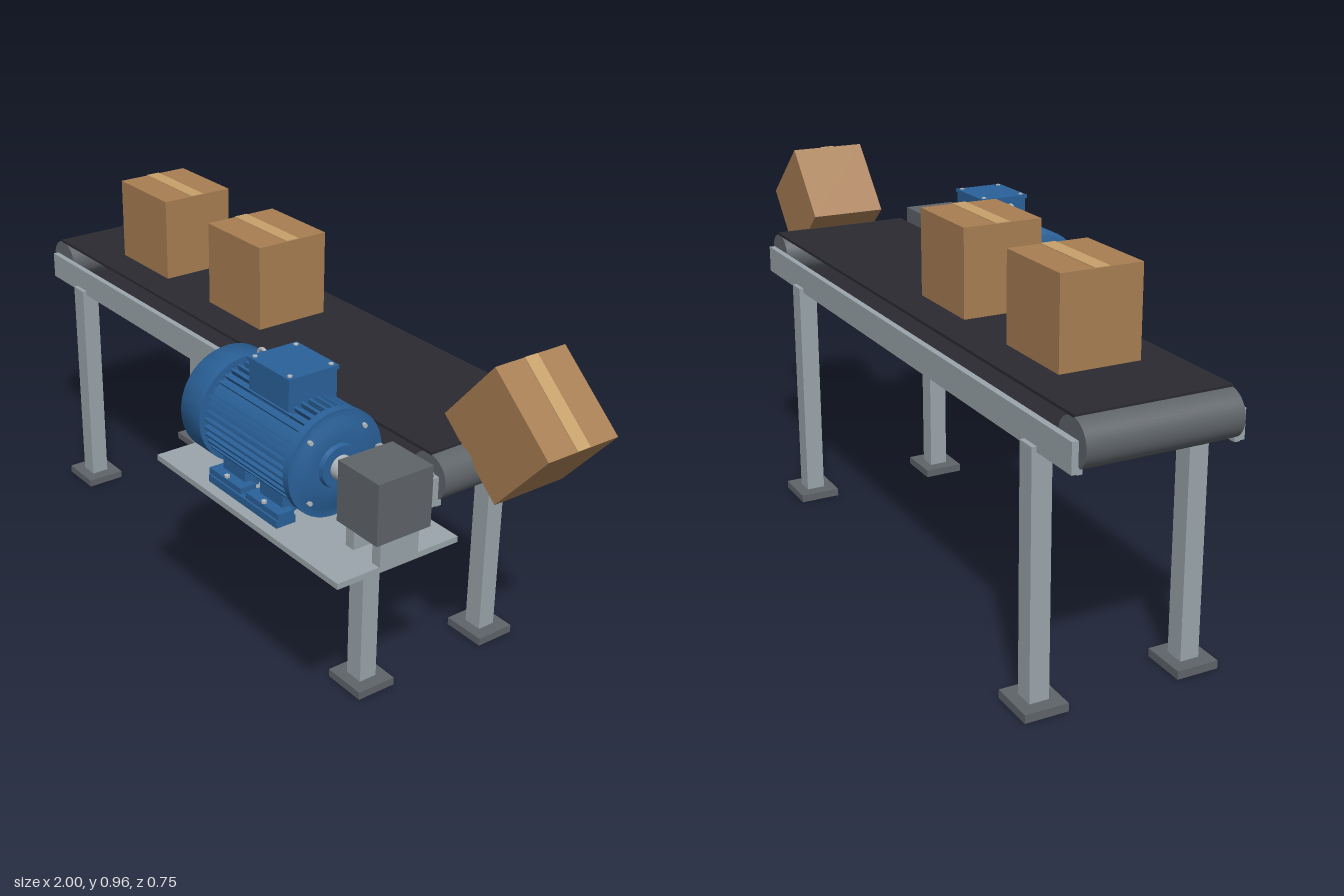
import * as THREE from 'three';
import { toCreasedNormals } from 'three/addons/utils/BufferGeometryUtils.js';

const mat = (name, color) => Object.assign(new THREE.MeshStandardMaterial({ color }), { name });

export function createModel() {
  const model = new THREE.Group();
  model.name = 'conveyor';
  const steel = mat('galvanised steel', 0x9aa5ab);
  const dark = mat('dark grey metal', 0x5f6469);
  const rubber = mat('black rubber', 0x2a2a30);
  const blue = mat('motor blue', 0x2a6199);
  const bright = mat('bright steel', 0xb4b9bd);
  const card = mat('cardboard', 0xa87e53);
  const tape = mat('packing tape', 0xc6a06b);

  const add = (name, geo, m, x, y, z, parent = model) => {
    const mesh = new THREE.Mesh(geo, m);
    mesh.name = name;
    mesh.position.set(x, y, z);
    parent.add(mesh);
    return mesh;
  };
  // Box given by its limits on each axis
  const box = (name, m, x0, x1, y0, y1, z0, z1, parent = model) =>
    add(name, new THREE.BoxGeometry(x1 - x0, y1 - y0, z1 - z0), m,
      (x0 + x1) / 2, (y0 + y1) / 2, (z0 + z1) / 2, parent);
  // Cylinder along an axis, from a to b
  const rod = (name, m, axis, r, a, b, p, q, parent = model, sides = 32) => {
    const g = new THREE.CylinderGeometry(r, r, b - a, sides);
    const c = (a + b) / 2;
    if (axis === 'x') return add(name, g.rotateZ(-Math.PI / 2), m, c, p, q, parent);
    if (axis === 'z') return add(name, g.rotateX(Math.PI / 2), m, p, q, c, parent);
    return add(name, g, m, p, c, q, parent);
  };

  // Belt runs and end drums
  const midZ = -0.122, drumY = 0.672;
  box('beltTop', rubber, -0.95, 0.73, 0.727, 0.734, midZ - 0.194, midZ + 0.194);
  box('beltBottom', rubber, -0.95, 0.73, 0.611, 0.617, midZ - 0.194, midZ + 0.194);
  for (const x of [-0.943, 0.722]) {
    rod('drum', dark, 'z', 0.057, midZ - 0.193, midZ + 0.193, x, drumY, model, 48);
    rod('drumAxle', bright, 'z', 0.014, midZ - 0.208, midZ + 0.208, x, drumY - 0.008);
  }

  // Side rails, legs and foot plates, mirrored about the belt's middle
  for (const s of [-1, 1]) {
    const rail = (name, y0, y1, a, b) => {
      const z = [midZ + s * a, midZ + s * b].sort((p, q) => p - q);
      box(name, steel, -0.975, 0.76, y0, y1, z[0], z[1]);
    };
    rail('railWeb', 0.615, 0.687, 0.196, 0.212);
    rail('railLip', 0.613, 0.627, 0.186, 0.2);
    for (const x of [-0.808, 0.52]) {
      const z = midZ + s * 0.199;
      box('leg', steel, x - 0.026, x + 0.026, 0.02, 0.628, z - 0.025, z + 0.025);
      box('footPlate', dark, x - 0.061, x + 0.061, 0, 0.021, z - 0.055, z + 0.055);
    }
  }

  // Cartons with taped tops, the last one tipping off the end
  const carton = (x, y, tilt) => {
    const g = new THREE.Group();
    g.name = 'carton';
    g.position.set(x, y, -0.119);
    g.rotation.z = tilt;
    box('cartonBody', card, -0.1175, 0.1175, -0.1125, 0.1125, -0.104, 0.104, g);
    box('cartonTape', tape, -0.1175, 0.1175, 0.1125, 0.1145, -0.019, 0.019, g);
    model.add(g);
  };
  carton(-0.612, 0.8455, 0);
  carton(-0.165, 0.8455, 0);
  carton(0.833, 0.789, -0.72);

  // Drive base plate
  box('basePlate', steel, 0.057, 0.783, 0.516, 0.531, 0.028, 0.37);

  // Motor, built around its own axis
  const motor = new THREE.Group();
  motor.name = 'motor';
  const ay = 0.673, az = 0.204;
  motor.position.set(0, ay, az);
  model.add(motor);
  const turned = (name, pts) => add(name, toCreasedNormals(
    new THREE.LatheGeometry(pts.map(p => new THREE.Vector2(p[1], p[0])), 48).rotateZ(-Math.PI / 2), 0.6),
    blue, 0, 0, 0, motor);
  turned('fanCover', [[0.118, 0], [0.118, 0.125], [0.122, 0.134], [0.13, 0.139], [0.21, 0.139], [0.21, 0]]);
  turned('motorBody', [[0.205, 0.117], [0.545, 0.117]]);
  turned('endBell', [[0.537, 0], [0.537, 0.133], [0.558, 0.133], [0.558, 0.112], [0.566, 0.1],
    [0.566, 0.055], [0.578, 0.052], [0.578, 0]]);
  for (let i = 0; i < 40; i++) {
    const a = (i + 0.5) / 40 * Math.PI * 2;
    const fin = add('coolingFin', new THREE.BoxGeometry(0.32, 0.02, 0.007), blue,
      0.378, Math.cos(a) * 0.121, Math.sin(a) * 0.121, motor);
    fin.rotation.x = a;
  }
  for (let i = 0; i < 4; i++) {
    const a = Math.PI / 4 + i * Math.PI / 2;
    rod('flangeBolt', bright, 'x', 0.006, 0.555, 0.568, Math.sin(a) * 0.108, Math.cos(a) * 0.108, motor, 6);
  }
  for (const [r, a, b] of [[0.03, 0.578, 0.6], [0.018, 0.6, 0.635], [0.027, 0.635, 0.662]])
    rod('motorShaft', bright, 'x', r, a, b, 0, 0, motor);

  // Motor mounting feet
  for (const s of [-1, 1]) {
    const z = s * 0.11;
    box('footRail', blue, 0.245, 0.52, -0.142, -0.123, z - 0.027, z + 0.027, motor);
    for (const x of [0.305, 0.455]) {
      box('footPad', blue, x - 0.065, x + 0.065, -0.125, -0.108, z - 0.022, z + 0.022, motor);
      box('footWeb', blue, x - 0.045, x + 0.045, -0.125, -0.06, s * 0.085 - 0.02, s * 0.085 + 0.02, motor);
      rod('footBolt', bright, 'y', 0.007, -0.11, -0.102, x, s * 0.125, motor, 6);
    }
  }

  // Terminal box, lid screws and cable gland
  box('terminalBox', blue, 0.316, 0.47, 0.1, 0.185, -0.068, 0.068, motor);
  box('terminalLid', blue, 0.312, 0.474, 0.185, 0.194, -0.071, 0.071, motor);
  for (const x of [0.326, 0.46]) for (const z of [-0.058, 0.058])
    rod('lidScrew', bright, 'y', 0.006, 0.193, 0.197, x, z, motor, 12);
  rod('cableGland', dark, 'z', 0.014, -0.092, -0.066, 0.393, 0.143, motor, 16);

  // Lifting eye
  add('liftingEye', new THREE.TorusGeometry(0.017, 0.005, 10, 28), bright, 0.275, 0.162, 0, motor);
  rod('liftingEyeStem', bright, 'y', 0.009, 0.115, 0.146, 0.275, 0, motor, 16);

  // Gearbox on its two stands, with the output coupling to the drum
  box('gearbox', dark, 0.658, 0.797, 0.597, 0.748, 0.125, 0.277);
  for (const x of [0.68, 0.772])
    box('gearboxStand', steel, x - 0.014, x + 0.014, 0.53, 0.598, 0.148, 0.256);
  rod('outputShaft', bright, 'z', 0.02, 0.06, 0.13, 0.727, drumY);
  rod('outputCoupling', dark, 'z', 0.03, 0.082, 0.112, 0.727, drumY);

  return model;
}
